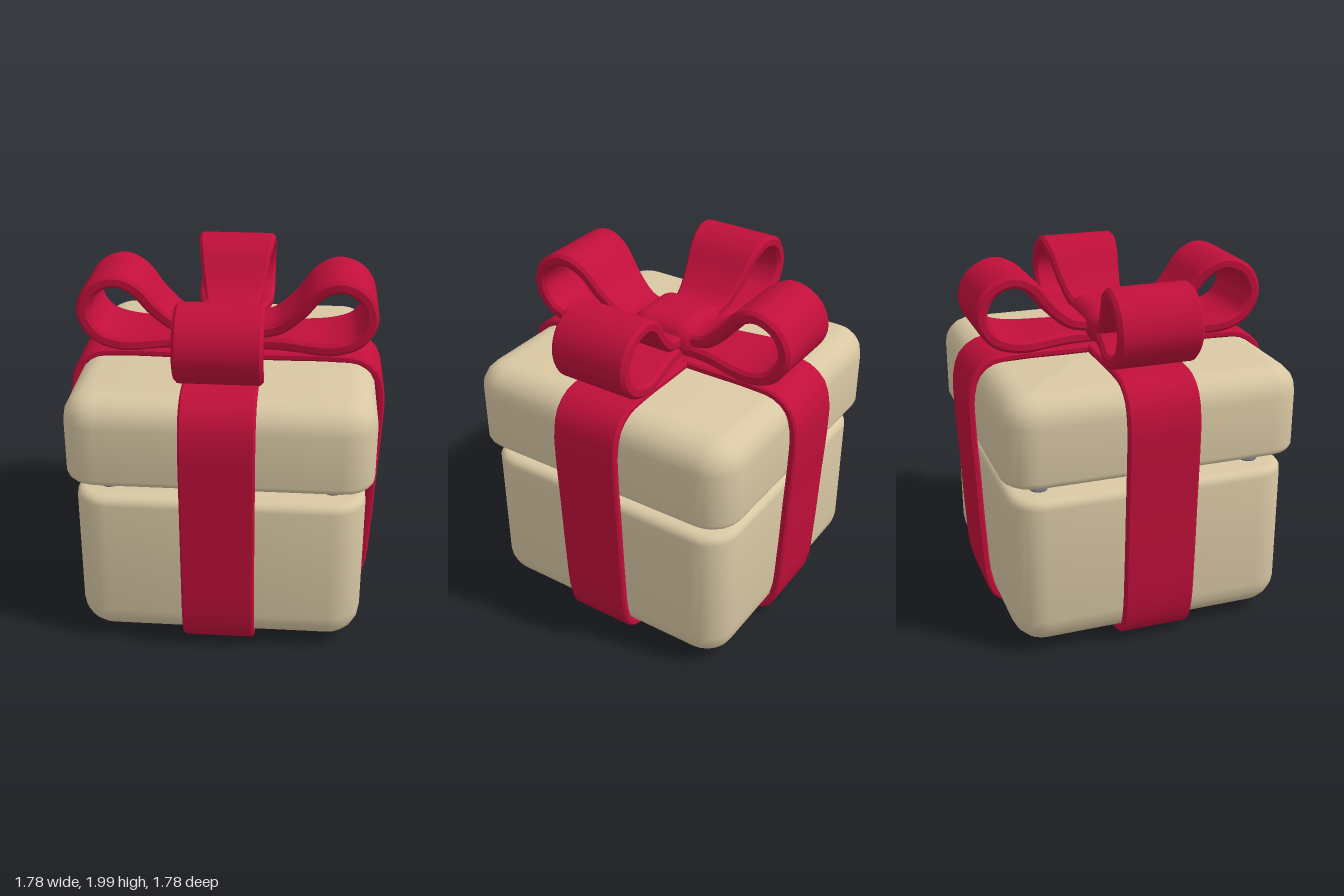
import * as THREE from 'three';
import { toCreasedNormals } from 'three/addons/utils/BufferGeometryUtils.js';
import { RoundedBoxGeometry } from 'three/addons/geometries/RoundedBoxGeometry.js';

const mat = (name, color) => {
  const m = new THREE.MeshStandardMaterial({ color });
  m.name = name;
  return m;
};

// Skins a stack of equal-sized rings; either wraps round or gets end caps.
function loft(rings, wrap) {
  const n = rings[0].length, count = rings.length, index = [];
  for (let i = 0; i < (wrap ? count : count - 1); i++) {
    for (let j = 0; j < n; j++) {
      const a = i * n + j, b = i * n + (j + 1) % n;
      const c = ((i + 1) % count) * n + j, d = ((i + 1) % count) * n + (j + 1) % n;
      index.push(a, c, b, b, c, d);
    }
  }
  if (!wrap) {
    const top = (count - 1) * n;
    for (let k = 1; k < n - 1; k++) index.push(0, k, k + 1, top, top + k + 1, top + k);
  }
  const g = new THREE.BufferGeometry();
  g.setAttribute('position', new THREE.Float32BufferAttribute(rings.flat(2), 3));
  g.setIndex(index);
  return toCreasedNormals(g, 0.6);
}

// Square block with rounded corners; bottom and top edges have their own radii.
function softBlock(half, corner, y0, y1, rBottom, rTop) {
  const profile = [], steps = 5;
  for (let i = 0; i <= steps; i++) {
    const a = (i / steps) * Math.PI / 2;
    profile.push([rBottom * (1 - Math.sin(a)), y0 + rBottom * (1 - Math.cos(a))]);
  }
  for (let i = 0; i <= steps; i++) {
    const a = (i / steps) * Math.PI / 2;
    profile.push([rTop * (1 - Math.cos(a)), y1 - rTop * (1 - Math.sin(a))]);
  }
  const rings = profile.map(([inset, y]) => {
    const ring = [], c = half - corner, r = corner - inset;
    for (let q = 0; q < 4; q++) {
      const sx = q === 0 || q === 3 ? 1 : -1, sz = q < 2 ? 1 : -1;
      for (let k = 0; k <= steps; k++) {
        const a = (q + k / steps) * Math.PI / 2;
        ring.push([sx * c + r * Math.cos(a), y, sz * c + r * Math.sin(a)]);
      }
    }
    return ring;
  });
  return loft(rings, false);
}

// Closed ribbon following a counterclockwise path in the xy plane.
function ribbon(points, halfWidth, halfThick, samples) {
  const curve = new THREE.CatmullRomCurve3(
    points.map(([x, y]) => new THREE.Vector3(x, y, 0)), true, 'centripetal');
  const rings = [];
  for (let i = 0; i < samples; i++) {
    const p = curve.getPointAt(i / samples), t = curve.getTangentAt(i / samples);
    const w = halfWidth(p.x), h = halfThick, b = h * 0.5;
    const section = [
      [b - w, h], [w - b, h], [w, h - b], [w, b - h],
      [w - b, -h], [b - w, -h], [-w, b - h], [-w, h - b]];
    rings.push(section.map(([u, v]) => [p.x + t.y * v, p.y - t.x * v, u]));
  }
  return loft(rings, true);
}

export function createModel() {
  const model = new THREE.Group();
  model.name = 'giftBox';
  const cream = mat('cream', 0xd8c7a3);
  const red = mat('ribbonRed', 0xc00f3a);
  const grey = mat('metalGrey', 0x666c72);
  const add = (name, geometry, material) => {
    const mesh = new THREE.Mesh(geometry, material);
    mesh.name = name;
    model.add(mesh);
    return mesh;
  };

  // Box body and floating lid
  add('boxBody', softBlock(0.79, 0.18, 0.05, 0.94, 0.17, 0.05), cream);
  add('lid', softBlock(0.83, 0.18, 1.03, 1.52, 0.04, 0.15), cream);

  // Small springs holding the lid up
  const springProfile = [
    [0, 0.92], [0.045, 0.92], [0.05, 0.945], [0.038, 0.955], [0.065, 0.972],
    [0.065, 0.985], [0.04, 0.995], [0.062, 1.01], [0.062, 1.02], [0.04, 1.03], [0, 1.045],
  ].map(([r, y]) => new THREE.Vector2(r, y));
  const spring = toCreasedNormals(new THREE.LatheGeometry(springProfile, 12), 0.6);
  for (const x of [-0.61, 0.61]) {
    for (const z of [-0.61, 0.61]) add('spring', spring, grey).position.set(x, 0, z);
  }

  // Two crossing bands wrapped around the box
  const side = [
    [0.3, 0.028], [0.55, 0.028], [0.67, 0.038], [0.765, 0.085], [0.812, 0.21], [0.835, 0.5],
    [0.85, 0.85], [0.865, 1.2], [0.862, 1.34], [0.825, 1.46], [0.74, 1.525], [0.6, 1.542], [0.3, 1.542]];
  const bandPath = [...side, ...side.map(([x, y]) => [-x, y]).reverse()];
  const band = ribbon(bandPath, () => 0.2, 0.022, 110);
  for (let i = 0; i < 2; i++) add('ribbonBand', band, red).rotation.y = i * Math.PI / 2;

  // Four bow loops, pinched toward the knot
  const loopPath = [
    [0.06, 1.597], [0.3, 1.6], [0.6, 1.602], [0.73, 1.655], [0.793, 1.78], [0.745, 1.905],
    [0.62, 1.963], [0.51, 1.92], [0.4, 1.79], [0.28, 1.69], [0.12, 1.645]];
  const pinch = x => 0.15 + 0.08 * THREE.MathUtils.smoothstep(x, 0.15, 0.65);
  const loop = ribbon(loopPath, pinch, 0.036, 64);
  for (let i = 0; i < 4; i++) add('bowLoop', loop, red).rotation.y = i * Math.PI / 2;

  // Knot in the middle of the bow
  add('bowKnot', new RoundedBoxGeometry(0.4, 0.21, 0.4, 4, 0.09), red).position.y = 1.655;

  return model;
}
